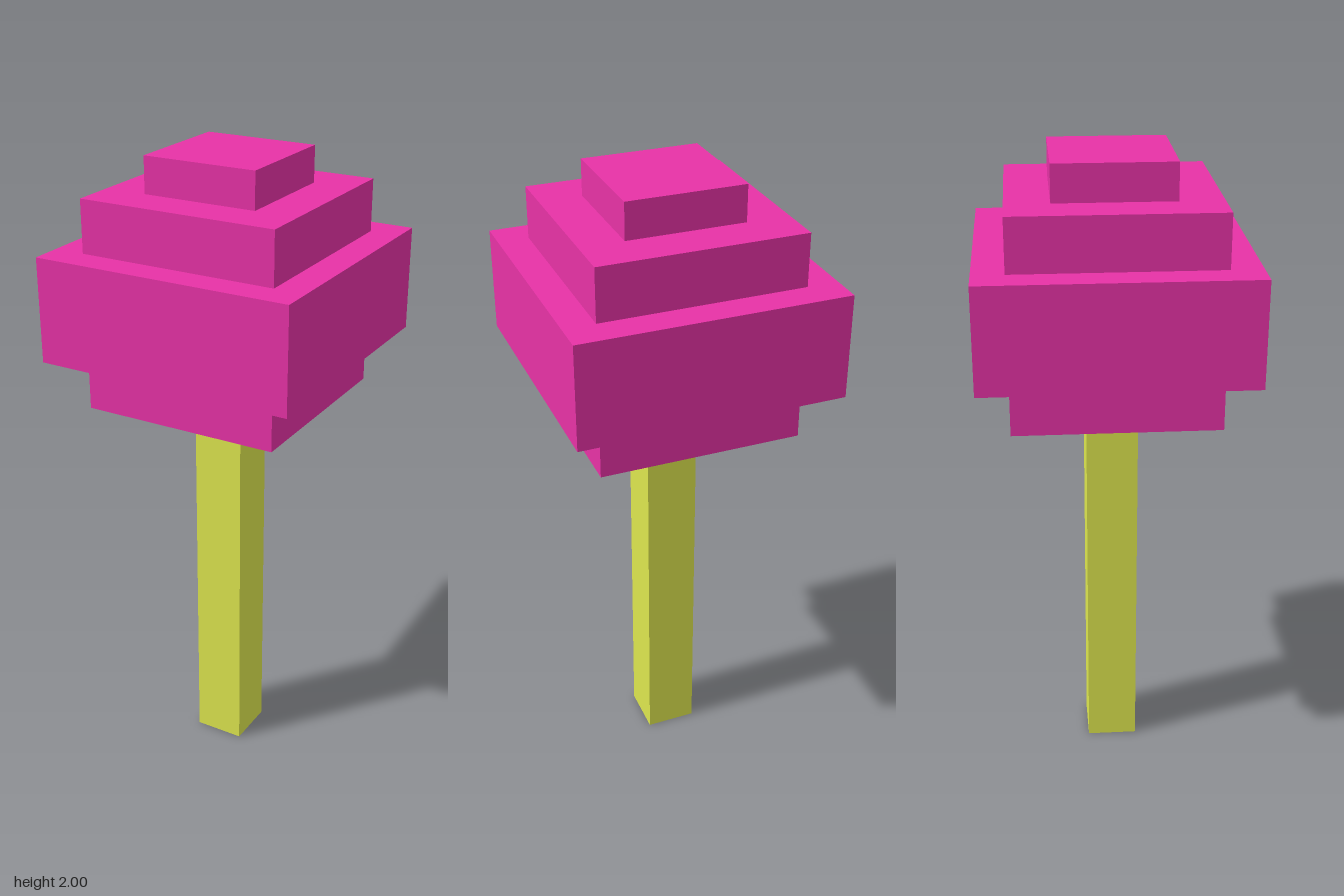
import * as THREE from 'three';

export function createModel() {
  const model = new THREE.Group();
  model.name = 'blockTree';

  const trunkYellow = new THREE.MeshStandardMaterial({ color: 0xdde64e });
  trunkYellow.name = 'trunkYellow';
  const foliagePink = new THREE.MeshStandardMaterial({ color: 0xe732a6 });
  foliagePink.name = 'foliagePink';

  // Square block centred on the vertical axis, from height y0 to y1
  function addBlock(name, width, y0, y1, material) {
    const mesh = new THREE.Mesh(new THREE.BoxGeometry(width, y1 - y0, width), material);
    mesh.name = name;
    mesh.position.y = (y0 + y1) / 2;
    model.add(mesh);
  }

  // Trunk
  addBlock('trunk', 0.16, 0, 1.248, trunkYellow);

  // Stepped crown
  addBlock('crownBase', 0.62, 1.248, 1.41, foliagePink);
  addBlock('crownMiddle', 0.81, 1.41, 1.73, foliagePink);
  addBlock('crownUpper', 0.62, 1.73, 1.89, foliagePink);
  addBlock('crownTop', 0.358, 1.89, 2, foliagePink);

  return model;
}
